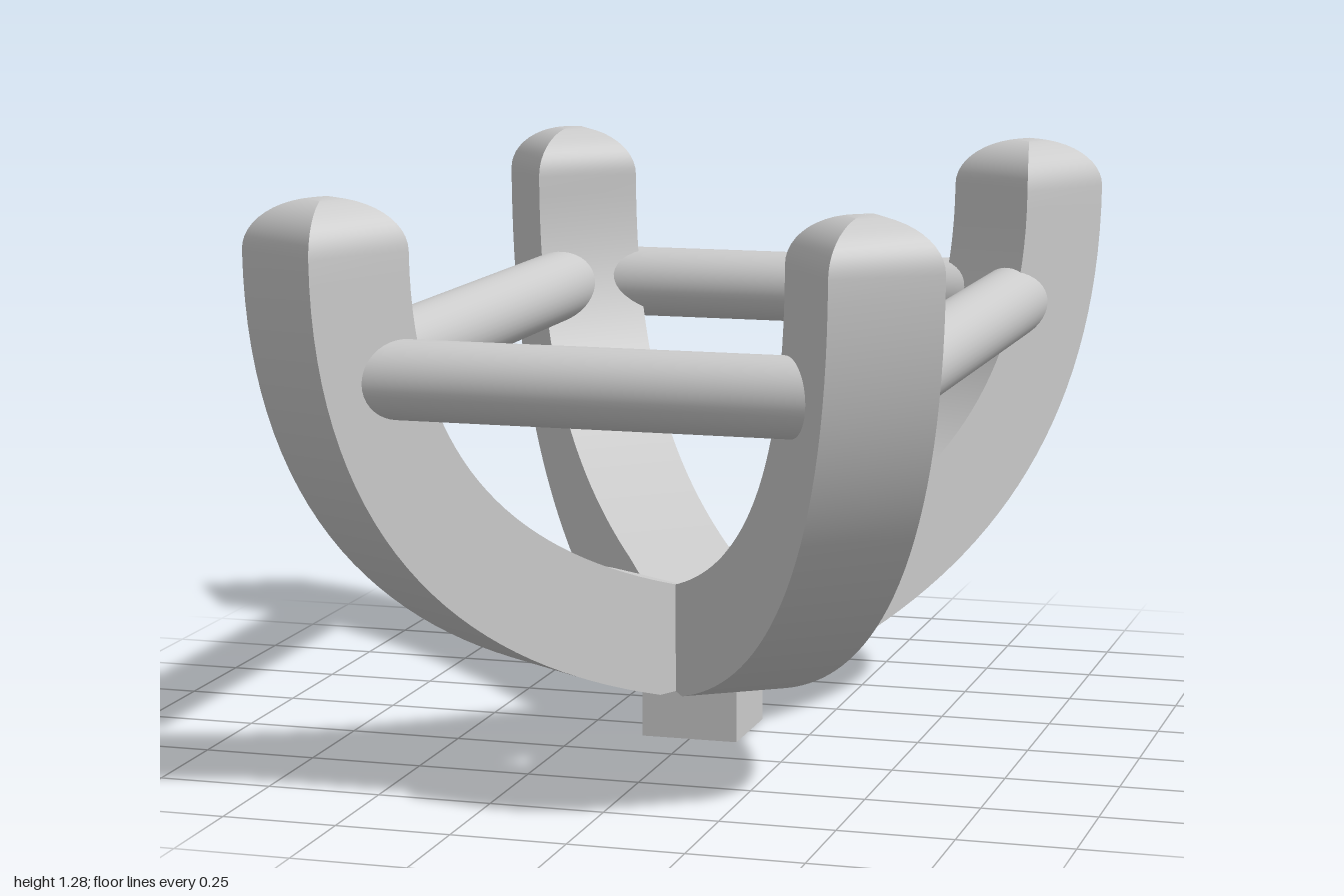
import * as THREE from 'three';
import { toCreasedNormals } from 'three/addons/utils/BufferGeometryUtils.js';

const HALF = 0.123;        // half thickness of an arm
const CAP = 0.11;          // height of the domed arm tip
const CORNER_X = 0.558, CORNER_Z = 0.81, BAR_Y = 0.905, BAR_R = 0.084;

// One curved arm, running out along +x and up; square section, vaulted tip
function armGeometry() {
  const path = new THREE.CubicBezierCurve(
    new THREE.Vector2(0.19, 0.252), new THREE.Vector2(0.67, 0.38),
    new THREE.Vector2(1.0, 0.64), new THREE.Vector2(1.003, 1.17));
  const rings = [];
  const addRing = (inner, outer, w) => rings.push([
    [inner.x, inner.y, -w], [inner.x, inner.y, w],
    [outer.x, outer.y, w], [outer.x, outer.y, -w]]);
  const addSection = (centre, tangent, half) => {
    const n = new THREE.Vector2(-tangent.y, tangent.x).multiplyScalar(half);
    addRing(centre.clone().add(n), centre.clone().sub(n), half);
  };

  // root at the middle, where the arms meet
  addRing({ x: 0, y: 0.32 }, { x: 0, y: 0.143 }, HALF);
  // swept length
  const steps = 32;
  for (let i = 0; i <= steps; i++) {
    addSection(path.getPoint(i / steps), path.getTangent(i / steps), HALF);
  }
  // domed tip
  const end = path.getPoint(1), dir = path.getTangent(1), capSteps = 12;
  for (let i = 1; i <= capSteps; i++) {
    const a = (i / capSteps) * Math.PI / 2;
    addSection(end.clone().addScaledVector(dir, CAP * Math.sin(a)), dir,
      Math.max(HALF * Math.cos(a), 0.0005));
  }

  const pos = [];
  for (let i = 0; i < rings.length - 1; i++) {
    for (let k = 0; k < 4; k++) {
      const m = (k + 1) % 4;
      const a = rings[i][k], b = rings[i][m], c = rings[i + 1][m], d = rings[i + 1][k];
      pos.push(...a, ...b, ...c, ...a, ...c, ...d);
    }
  }
  const g = new THREE.BufferGeometry();
  g.setAttribute('position', new THREE.Float32BufferAttribute(pos, 3));
  return toCreasedNormals(g, 0.25);
}

export function createModel() {
  const group = new THREE.Group();
  const material = new THREE.MeshStandardMaterial({ color: 0xcccccc });
  const add = (name, geometry) => {
    const mesh = new THREE.Mesh(geometry, material);
    mesh.name = name;
    group.add(mesh);
    return mesh;
  };

  // four arms on the diagonals
  const arm = armGeometry();
  const angle = Math.atan2(0.825, 0.57);
  const arms = {
    frontLeftArm: -angle, backLeftArm: angle,
    frontRightArm: Math.PI + angle, backRightArm: Math.PI - angle,
  };
  for (const [name, a] of Object.entries(arms)) add(name, arm).rotation.y = a;

  // round bars joining neighbouring arms
  const crossBar = new THREE.CylinderGeometry(BAR_R, BAR_R, 2 * CORNER_X, 40).rotateZ(Math.PI / 2);
  const sideBar = new THREE.CylinderGeometry(BAR_R, BAR_R, 2 * CORNER_Z, 40).rotateX(Math.PI / 2);
  for (const s of [1, -1]) {
    add(s > 0 ? 'frontBar' : 'backBar', crossBar).position.set(0, BAR_Y, s * CORNER_Z);
    add(s > 0 ? 'leftBar' : 'rightBar', sideBar).position.set(s * CORNER_X, BAR_Y, 0);
  }

  // square foot
  add('foot', new THREE.BoxGeometry(0.22, 0.2, 0.22)).position.y = 0.1;

  return group;
}
